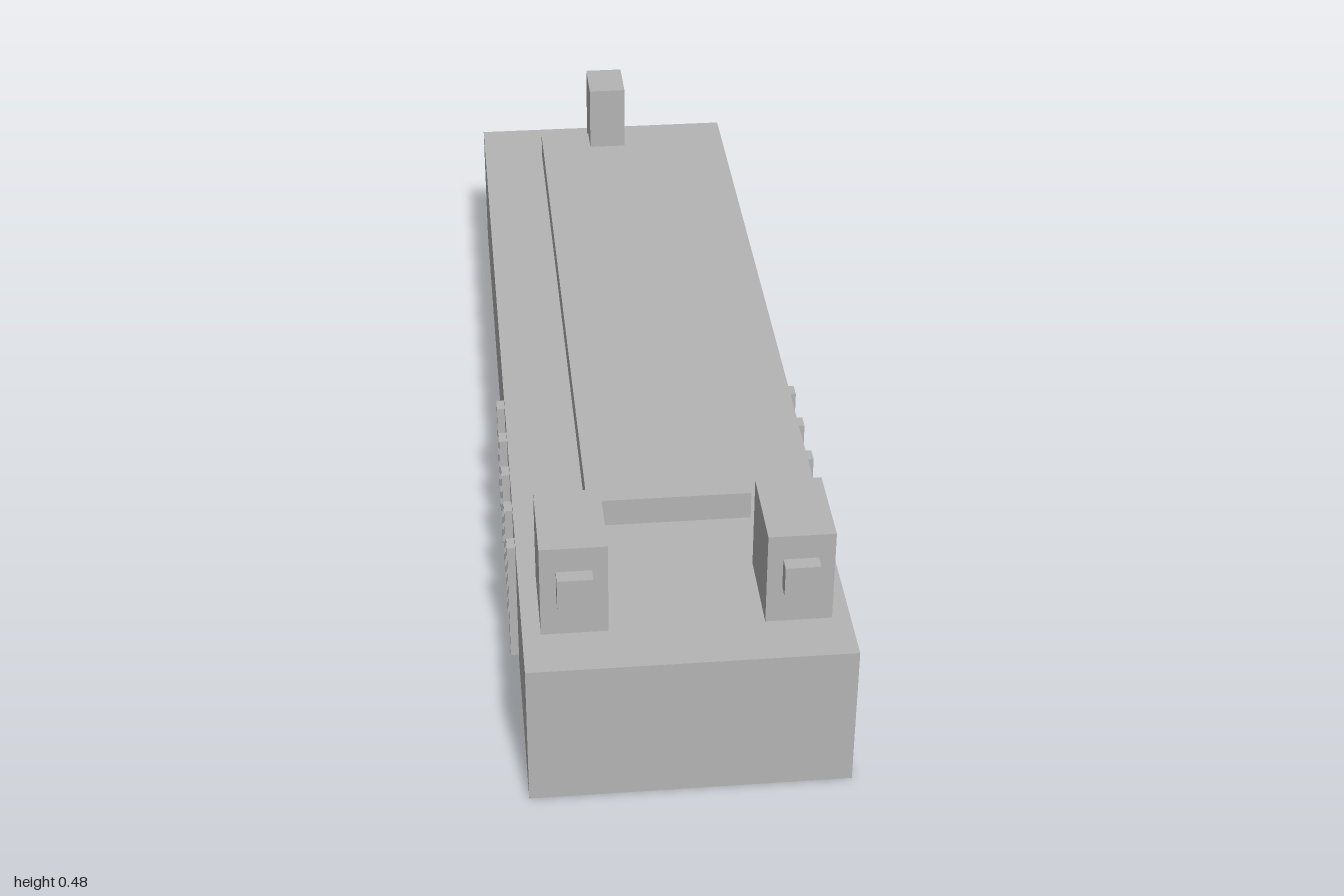
import * as THREE from 'three';

export function createModel() {
  const model = new THREE.Group();
  const grey = new THREE.MeshStandardMaterial({ color: 0xb4b4b4 });
  grey.name = 'plain grey';

  // Box given by its limits on each axis
  function block(name, [x0, x1], [y0, y1], [z0, z1]) {
    const mesh = new THREE.Mesh(new THREE.BoxGeometry(x1 - x0, y1 - y0, z1 - z0), grey);
    mesh.position.set((x0 + x1) / 2, (y0 + y1) / 2, (z0 + z1) / 2);
    mesh.name = name;
    model.add(mesh);
  }

  // Long body, raised deck and rear post
  block('body', [-0.283, 0.283], [0, 0.283], [-1, 1]);
  block('deck', [-0.15, 0.15], [0.283, 0.338], [-0.86, 0.602]);
  block('rearPost', [-0.04, 0.04], [0.293, 0.48], [-0.903, -0.792]);

  for (const [side, s] of [['left', 1], ['right', -1]]) {
    const span = (a, b) => (s > 0 ? [a, b] : [-b, -a]);

    // Front block with a small square stud on its face
    block(`${side}FrontBlock`, span(0.135, 0.251), [0.283, 0.463], [0.738, 0.902]);
    block(`${side}FrontStud`, span(0.162, 0.223), [0.357, 0.415], [0.902, 0.928]);

    // Row of upright ribs on the flank
    for (let i = 0; i < 5; i++) {
      const z = 0.165 + i * 0.1135;
      block(`${side}Rib${i + 1}`, span(0.283, 0.298), [0.018, 0.267], [z - 0.015, z + 0.015]);
    }
  }
  return model;
}
